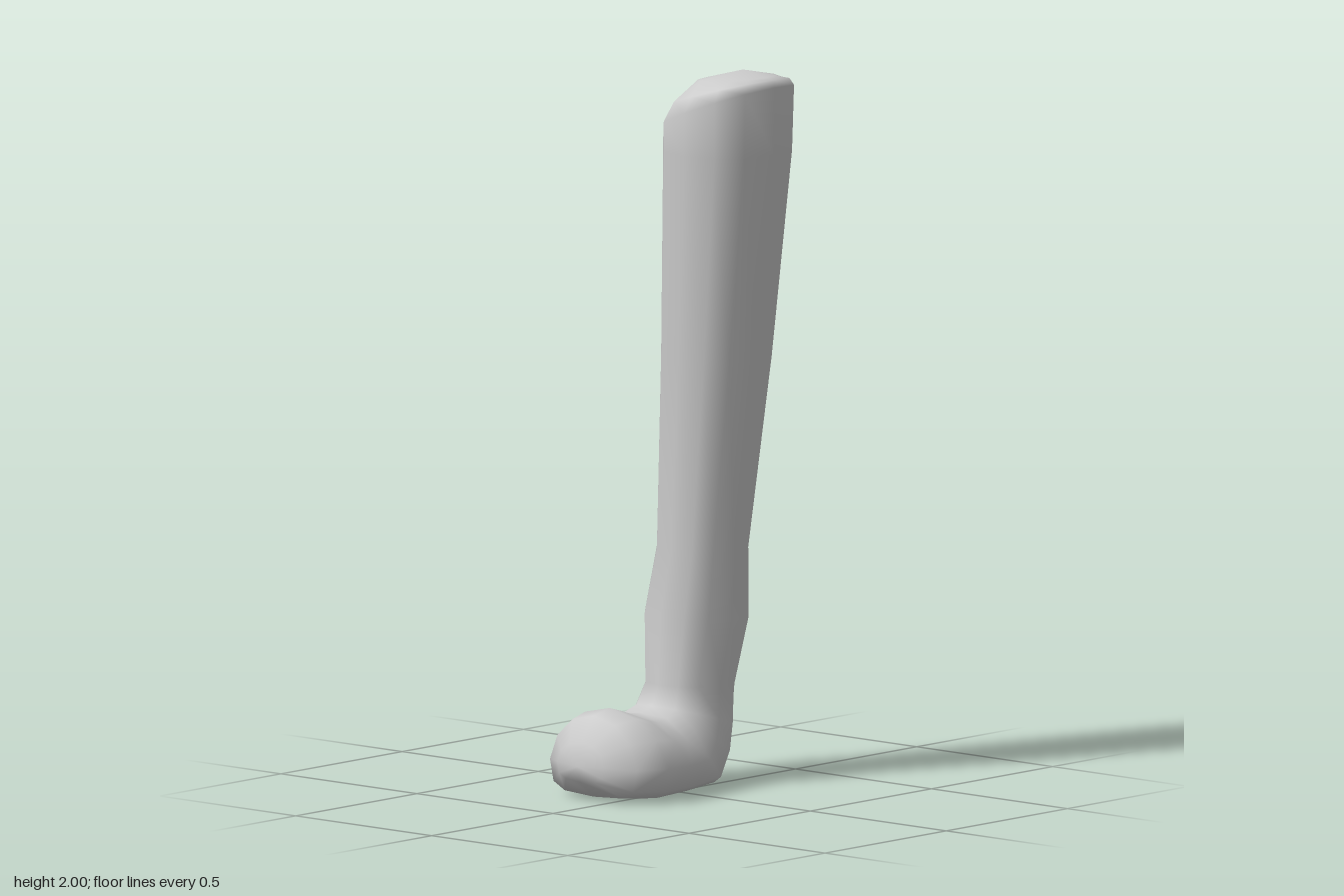
import * as THREE from 'three';
import { mergeVertices } from 'three/addons/utils/BufferGeometryUtils.js';

const SIDES = 12;

// Each section: [back z, back y, front z, front y, min x, max x, flatness, tilt]
// flatness squares off the sole half and narrows the upper half; tilt raises the +x side.
const sections = [
  // rounded top
  [-0.16, 2.0, -0.16, 2.0, 0.11, 0.11, 0, 0],
  [-0.24, 1.98, -0.04, 1.98, 0.0, 0.21, 0, 0.01],
  [-0.30, 1.94, 0.03, 1.945, -0.06, 0.24, 0, 0.045],
  [-0.32, 1.905, 0.05, 1.90, -0.09, 0.25, 0, 0.065],
  // shaft
  [-0.315, 1.78, 0.045, 1.78, -0.093, 0.245, 0, 0],
  [-0.308, 1.2, 0.01, 1.2, -0.12, 0.165, 0, 0],
  [-0.285, 0.66, -0.022, 0.66, -0.15, 0.085, 0, 0],
  [-0.297, 0.46, 0.005, 0.48, -0.18, 0.085, 0, 0],
  // ankle and heel
  [-0.258, 0.27, 0.005, 0.29, -0.165, 0.055, 0, 0],
  [-0.23, 0.16, 0.03, 0.235, -0.185, 0.075, 0.1, 0],
  [-0.195, 0.08, 0.07, 0.22, -0.21, 0.09, 0.4, 0],
  [-0.12, 0.01, 0.11, 0.222, -0.23, 0.11, 0.8, 0],
  // foot and toe
  [0.02, 0.005, 0.15, 0.235, -0.24, 0.13, 1, 0],
  [0.15, 0.0, 0.2, 0.25, -0.25, 0.133, 1, 0],
  [0.26, 0.01, 0.26, 0.235, -0.225, 0.095, 1, 0],
  [0.305, 0.055, 0.3, 0.165, -0.16, 0.01, 0.6, 0],
  [0.32, 0.1, 0.32, 0.1, -0.07, -0.07, 0, 0],
];

const soften = (t, p) => Math.sign(t) * Math.pow(Math.abs(t), p);

function sectionPoint([bz, by, fz, fy, x0, x1, flat, tilt], j) {
  const a = (j / SIDES) * Math.PI * 2;
  const c = Math.cos(a), s = Math.sin(a);
  let u = soften(c, 0.87), v = soften(s, 0.87);
  // the widest line sits low on the foot
  if (s > 0) u *= 1 - 0.12 * flat * s;
  else u = THREE.MathUtils.lerp(u, soften(c, 0.6), flat);
  if (s < 0) v = THREE.MathUtils.lerp(v, soften(s, 0.7), flat);
  v -= 0.22 * flat * (1 - v * v);
  const t = (v + 1) / 2;
  return [
    (x0 + x1) / 2 + u * (x1 - x0) / 2,
    THREE.MathUtils.lerp(by, fy, t) + tilt * u,
    THREE.MathUtils.lerp(bz, fz, t),
  ];
}

// Closed skin through the sections
function loft(rings) {
  const position = [], index = [];
  rings.forEach((ring, i) => {
    for (let j = 0; j < SIDES; j++) {
      position.push(...sectionPoint(ring, j));
      if (i === rings.length - 1) continue;
      const a = i * SIDES + j, b = i * SIDES + (j + 1) % SIDES;
      if (i > 0) index.push(a, b, a + SIDES);
      if (i < rings.length - 2) index.push(b, b + SIDES, a + SIDES);
    }
  });
  const geometry = new THREE.BufferGeometry();
  geometry.setAttribute('position', new THREE.Float32BufferAttribute(position, 3));
  geometry.setIndex(index);
  const welded = mergeVertices(geometry, 1e-4);
  welded.computeVertexNormals();
  return welded;
}

export function createModel() {
  const group = new THREE.Group();
  group.name = 'lowerLeg';
  const material = new THREE.MeshStandardMaterial({ color: 0xcccccc });
  const leg = new THREE.Mesh(loft(sections), material);
  leg.name = 'legAndFoot';
  group.add(leg);
  return group;
}
